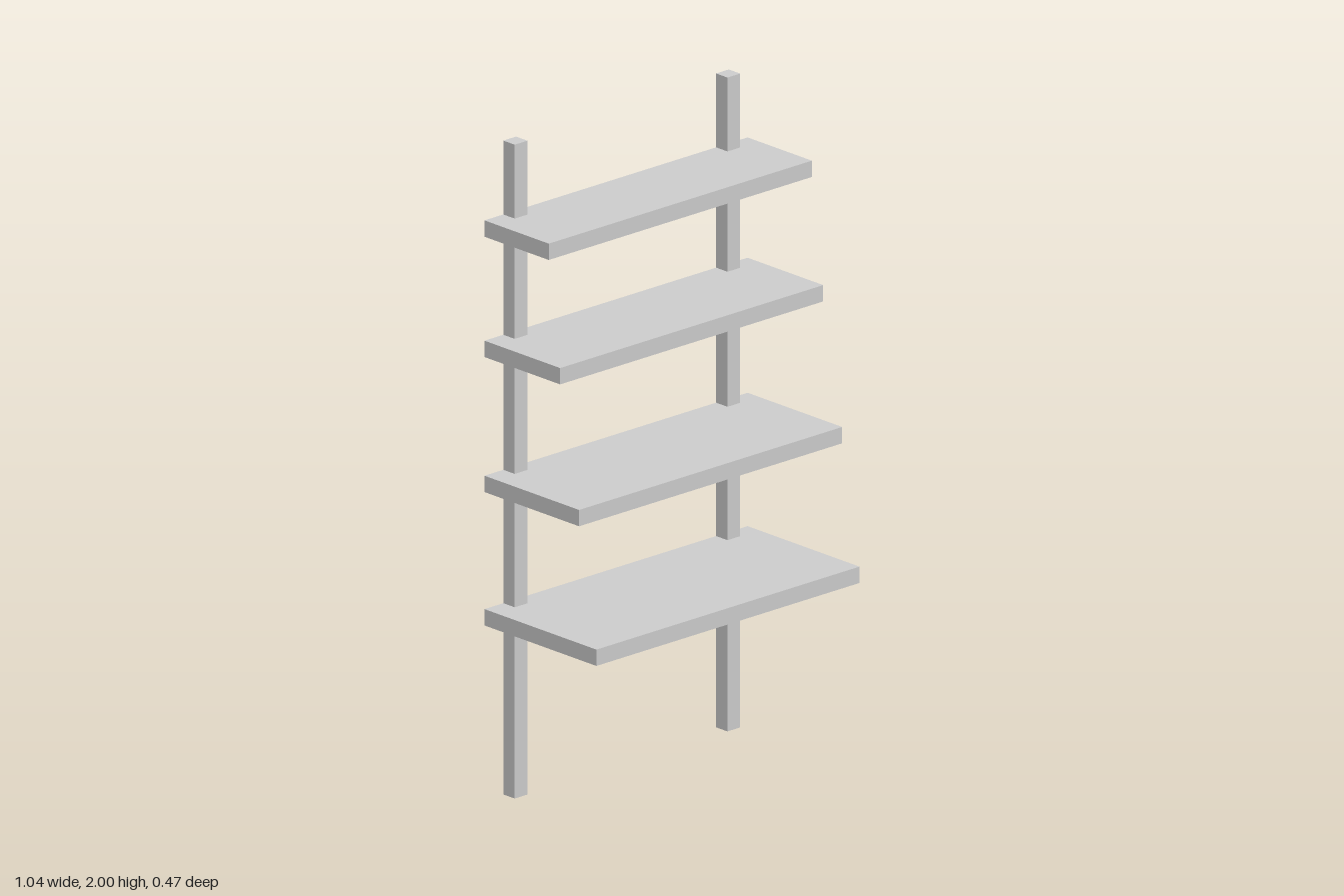
import * as THREE from 'three';

export function createModel() {
  const group = new THREE.Group();
  const material = new THREE.MeshStandardMaterial({ color: 0xcccccc, flatShading: true });
  const backZ = -0.236;
  const thickness = 0.05;

  // Box placed by its centre in x and y, with its back face on backZ
  function addBoard(name, width, height, depth, x, y) {
    const mesh = new THREE.Mesh(new THREE.BoxGeometry(width, height, depth), material);
    mesh.name = name;
    mesh.position.set(x, y, backZ + depth / 2);
    group.add(mesh);
  }

  // Two upright posts
  for (const side of [-1, 1]) {
    addBoard(side > 0 ? 'leftPost' : 'rightPost', thickness, 2, 0.048, side * 0.419, 1);
  }

  // Shelves from bottom to top, each shallower than the one below: [centre height, front z]
  const shelves = [[0.56, 0.236], [0.968, 0.163], [1.381, 0.083], [1.749, 0.035]];
  shelves.forEach(([y, frontZ], i) => {
    addBoard(`shelf${i + 1}`, 1.036, thickness, frontZ - backZ, 0, y);
  });

  return group;
}
